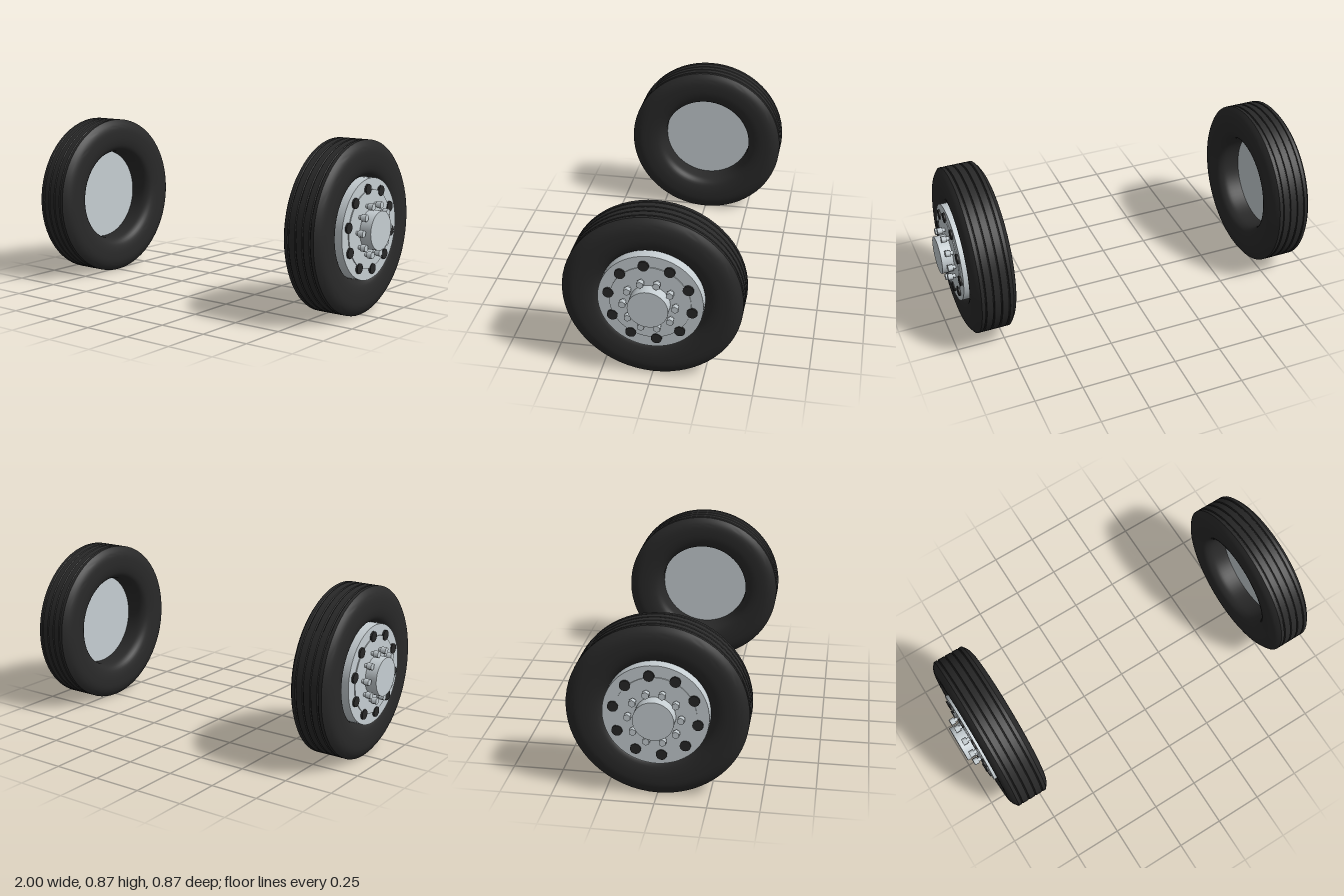
import * as THREE from 'three';
import { toCreasedNormals } from 'three/addons/utils/BufferGeometryUtils.js';

const RADIUS = 0.434;   // tyre radius, also axle height
const CENTRE = 0.814;   // distance of the tyre's middle plane from x = 0

const metal = new THREE.MeshStandardMaterial({ color: 0xc6ced2 });
metal.name = 'brushed metal';
const rubber = new THREE.MeshStandardMaterial({ color: 0x292929 });
rubber.name = 'black rubber';
const dark = new THREE.MeshStandardMaterial({ color: 0x272727 });
dark.name = 'dark opening';

function part(name, geometry, material, parent) {
  const mesh = new THREE.Mesh(geometry, material);
  mesh.name = name;
  parent.add(mesh);
  return mesh;
}

// Disc or cylinder along the axle, from height a to height b
function disc(name, radius, a, b, sides, material, parent) {
  const g = new THREE.CylinderGeometry(radius, radius, b - a, sides);
  g.translate(0, (a + b) / 2, 0);
  return part(name, g, material, parent);
}

// Tyre profile: deep bore, bulging sidewall, grooved tread, mirrored sidewall
function tyreGeometry() {
  const wall = new THREE.SplineCurve([
    [0.248, 0.0], [0.249, 0.045], [0.256, 0.074], [0.276, 0.097], [0.31, 0.108],
    [0.345, 0.111], [0.382, 0.109], [0.41, 0.099], [RADIUS, 0.081],
  ].map(([r, y]) => new THREE.Vector2(r, y))).getPoints(24);
  const points = wall.map((p) => new THREE.Vector2(p.x, -p.y));
  for (const y of [-0.06, -0.02, 0.02, 0.06]) {
    points.push(
      new THREE.Vector2(RADIUS, y - 0.004),
      new THREE.Vector2(RADIUS - 0.005, y - 0.001),
      new THREE.Vector2(RADIUS - 0.005, y + 0.001),
      new THREE.Vector2(RADIUS, y + 0.004),
    );
  }
  points.push(...wall.reverse());
  return toCreasedNormals(new THREE.LatheGeometry(points, 64), 0.6);
}

// One wheel built along +y, then turned so its outer face looks to +x
function createWheel(name) {
  const wheel = new THREE.Group();
  wheel.name = name;
  const axle = new THREE.Group();
  axle.name = name + 'Axle';
  axle.rotation.z = -Math.PI / 2;
  axle.position.set(CENTRE, RADIUS, 0);
  wheel.add(axle);

  part('tyre', tyreGeometry(), rubber, axle);
  disc('rimPlate', 0.252, 0.02, 0.121, 64, metal, axle);
  disc('rimCentre', 0.195, 0.12, 0.126, 64, metal, axle);
  disc('hub', 0.097, 0.12, 0.186, 48, metal, axle);

  // Ring of ventilation openings and ring of wheel nuts on studs
  for (let i = 0; i < 10; i++) {
    const step = (i * Math.PI) / 5;
    const a = step + THREE.MathUtils.degToRad(8);
    const hole = disc('ventOpening', 0.026, 0.121, 0.1305, 24, dark, axle);
    hole.position.set(-0.202 * Math.cos(a), 0, 0.202 * Math.sin(a));

    const stud = disc('wheelStud', 0.01, 0.124, 0.142, 12, metal, axle);
    const nut = disc('wheelNut', 0.018, 0.14, 0.166, 6, metal, axle);
    nut.geometry.rotateY(Math.PI / 2);
    for (const m of [stud, nut]) {
      m.position.set(-0.125 * Math.sin(step), 0, 0.125 * Math.cos(step));
    }
  }
  return wheel;
}

export function createModel() {
  const model = new THREE.Group();
  model.name = 'wheelPair';
  const left = createWheel('leftWheel');
  const right = createWheel('rightWheel');
  right.rotation.y = Math.PI;
  model.add(left, right);
  return model;
}
